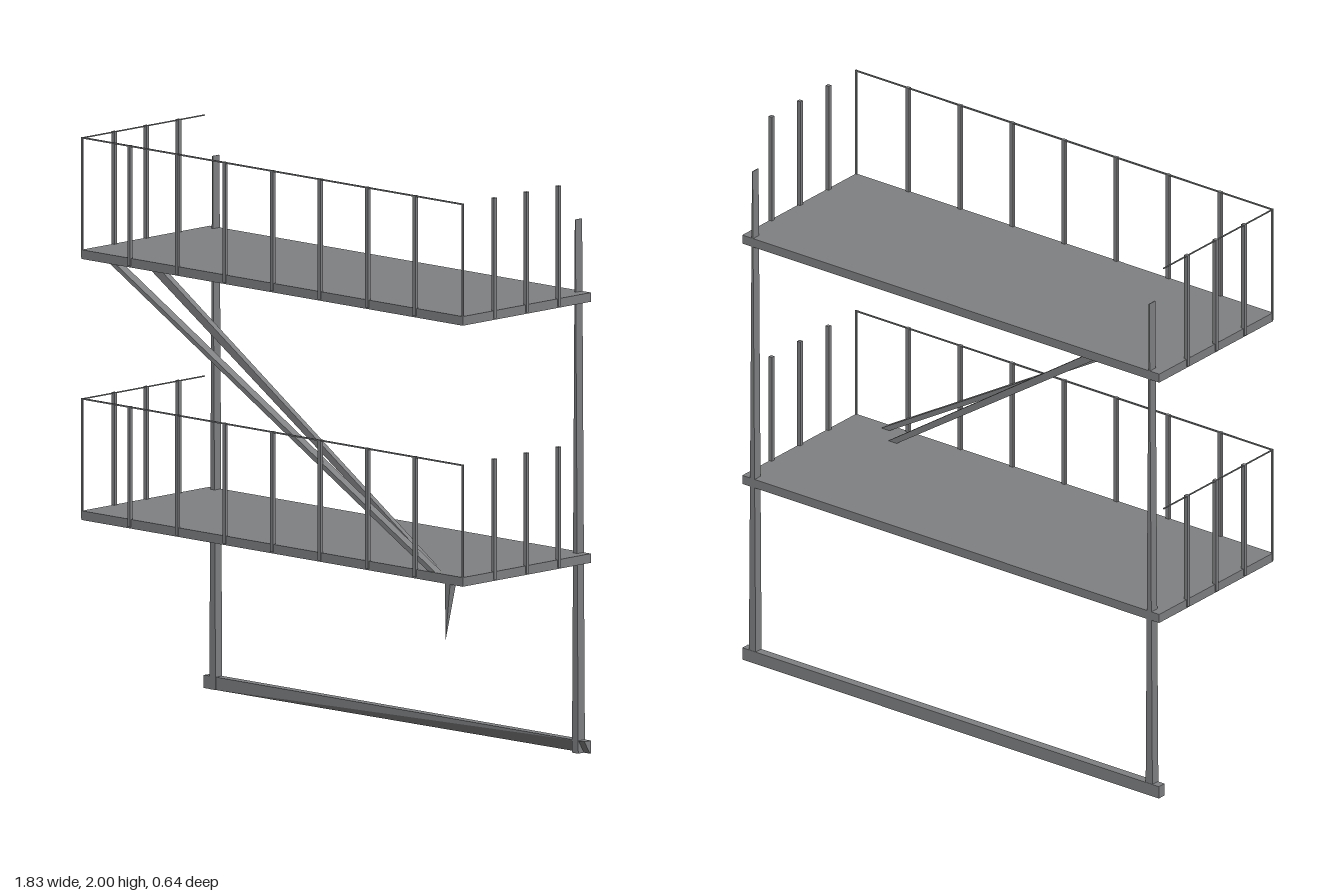
import * as THREE from 'three';

const steel = new THREE.MeshStandardMaterial({ color: 0x808183 });
steel.name = 'grey steel';

// Solid between two four-cornered sections, both counter-clockwise seen from the far end
function loft(name, a, b) {
  const p = [];
  const tri = (...pts) => pts.forEach((v) => p.push(...v));
  for (let i = 0; i < 4; i++) {
    const j = (i + 1) % 4;
    tri(a[i], a[j], b[i]);
    tri(a[j], b[j], b[i]);
  }
  tri(a[0], a[3], a[2]); tri(a[0], a[2], a[1]);
  tri(b[0], b[1], b[2]); tri(b[0], b[2], b[3]);
  const g = new THREE.BufferGeometry();
  g.setAttribute('position', new THREE.Float32BufferAttribute(p, 3));
  g.computeVertexNormals();
  const m = new THREE.Mesh(g, steel);
  m.name = name;
  return m;
}

// Horizontal rectangular section
const section = (x, y, z, w, d) => [
  [x - w / 2, y, z + d / 2], [x + w / 2, y, z + d / 2],
  [x + w / 2, y, z - d / 2], [x - w / 2, y, z - d / 2],
];

function box(name, w, h, d, x, y, z) {
  const m = new THREE.Mesh(new THREE.BoxGeometry(w, h, d), steel);
  m.name = name;
  m.position.set(x, y, z);
  return m;
}

// Deck with its railing; y is the underside
function createLevel(name, y) {
  const level = new THREE.Group();
  level.name = name;
  const top = y + 0.425, h = 0.42, mid = y + 0.215;
  level.add(box('deck', 1.818, 0.032, 0.632, 0, y + 0.016, 0));

  // Front balusters, thinner at the corners
  for (let i = -4; i <= 4; i++) {
    const corner = Math.abs(i) === 4;
    level.add(box(corner ? 'cornerBaluster' : 'frontBaluster',
      corner ? 0.007 : 0.014, h, corner ? 0.006 : 0.012, i * 0.2268, mid, 0.314));
  }
  // Side balusters
  for (const s of [-1, 1])
    for (const z of [0.158, 0, -0.158])
      level.add(box('sideBaluster', 0.014, h, 0.014, s * 0.906, mid, z));

  // Thin handrails along the front and one end
  level.add(box('frontHandrail', 1.818, 0.005, 0.005, 0, top - 0.0025, 0.314));
  level.add(box('sideHandrail', 0.004, 0.004, 0.605, -0.907, top - 0.003, 0.0135));
  return level;
}

export function createModel() {
  const model = new THREE.Group();
  model.name = 'fireEscape';

  model.add(createLevel('lowerLevel', 0.665));
  model.add(createLevel('upperLevel', 1.575));

  // Rear posts, narrowing toward the top
  for (const s of [-1, 1])
    model.add(loft('rearPost',
      section(s * 0.865, 0, -0.3, 0.03, 0.033),
      section(s * 0.865, 1.86, -0.3, 0.003, 0.033)));

  // Base beam, bevelled toward its left end
  model.add(loft('baseBeam',
    [[-0.908, 0, -0.285], [-0.908, 0, -0.317], [-0.908, 0.045, -0.317], [-0.908, 0.045, -0.285]],
    [[0.908, 0, -0.312], [0.908, 0, -0.317], [0.908, 0.045, -0.317], [0.908, 0.045, -0.285]]));

  // Two stair stringers
  model.add(loft('outerStringer',
    section(0.765, 0.69, 0.294, 0.036, 0.03),
    section(-0.765, 1.575, 0.294, 0.03, 0.034)));
  model.add(loft('innerStringer',
    section(0.68, 0.69, 0.222, 0.036, 0.018),
    section(-0.665, 1.58, 0.222, 0.056, 0.024)));

  // Pointed stub under the lower deck
  model.add(loft('hangingStub',
    section(0.826, 0.47, 0.315, 0.001, 0.001),
    section(0.837, 0.67, 0.301, 0.024, 0.03)));

  return model;
}
